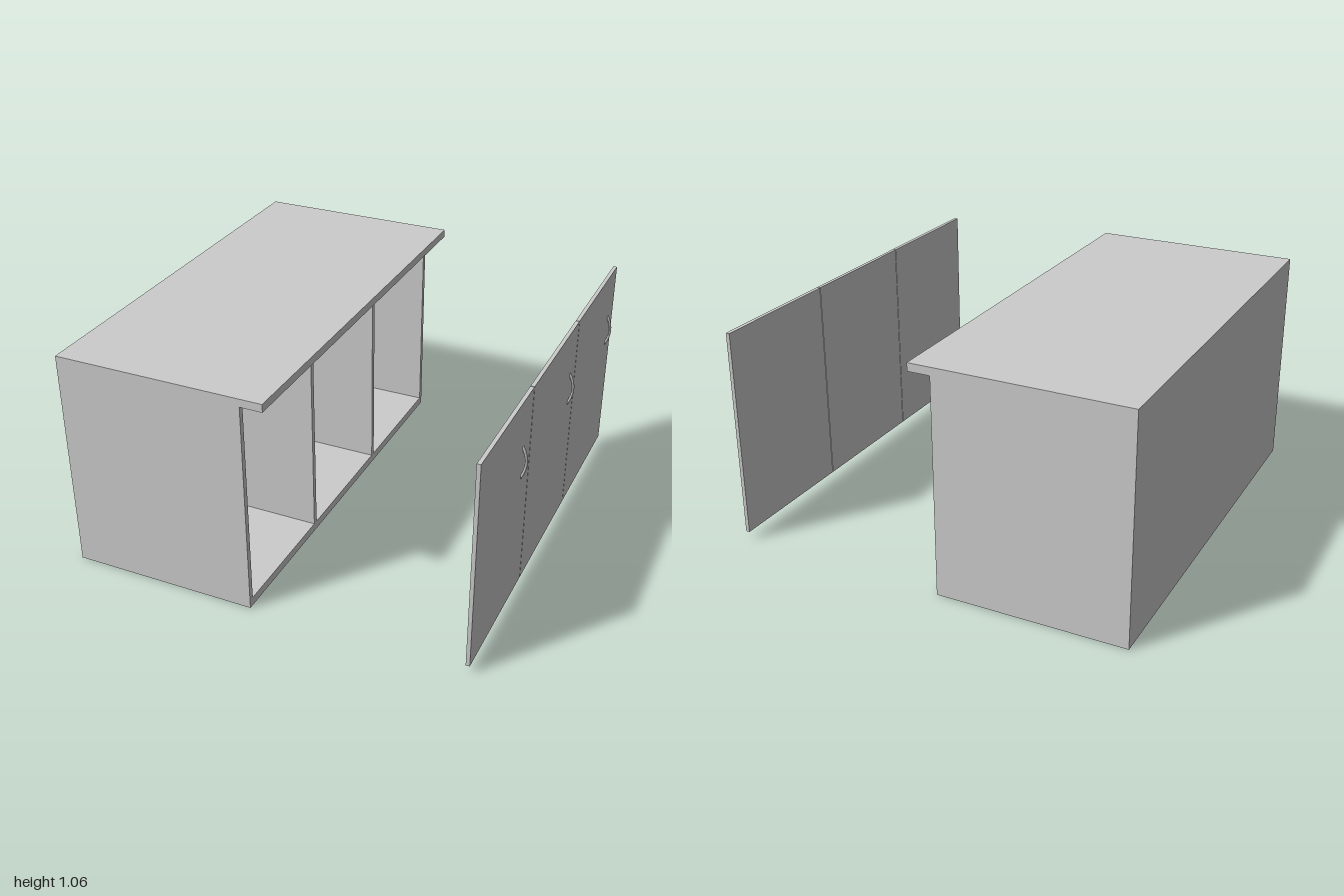
import * as THREE from 'three';

const material = new THREE.MeshStandardMaterial({ color: 0xcccccc });

// Box given by its minimum and maximum corners
function panel(name, [x0, y0, z0], [x1, y1, z1]) {
  const mesh = new THREE.Mesh(new THREE.BoxGeometry(x1 - x0, y1 - y0, z1 - z0), material);
  mesh.name = name;
  mesh.position.set((x0 + x1) / 2, (y0 + y1) / 2, (z0 + z1) / 2);
  return mesh;
}

// Bowed pull handle, slightly wider than deep, ends sunk into the door
function handle(x, y, z) {
  const arc = new THREE.QuadraticBezierCurve3(
    new THREE.Vector3(-0.006, -0.083, 0),
    new THREE.Vector3(0.043, 0, 0),
    new THREE.Vector3(-0.006, 0.083, 0)
  );
  const mesh = new THREE.Mesh(new THREE.TubeGeometry(arc, 24, 0.006, 12), material);
  mesh.name = 'handle';
  mesh.scale.z = 1.5;
  mesh.position.set(x, y, z);
  return mesh;
}

export function createModel() {
  const model = new THREE.Group();
  model.name = 'cabinet';
  const back = -0.97, front = -0.08, low = 0.04, high = 1.022, t = 0.025;

  // Carcass: base, overhanging worktop, back and ends
  model.add(
    panel('base', [back, 0, -1], [front, low, 1]),
    panel('worktop', [back, high, -1], [0.025, 1.06, 1]),
    panel('backPanel', [back, low, -1 + t], [back + t, high, 1 - t]),
    panel('leftEnd', [back, low, 1 - t], [front, high, 1]),
    panel('rightEnd', [back, low, -1], [front, high, -1 + t])
  );

  // Two upright dividers
  for (const z of [0.35, -0.325]) {
    model.add(panel('divider', [back + t, low, z - t / 2], [front, high, z + t / 2]));
  }

  // Three doors standing apart from the carcass, each with a handle
  const doors = [[0.352, 1, 0.452], [-0.317, 0.348, -0.238], [-0.99, -0.321, -0.9]];
  for (const [z0, z1, handleZ] of doors) {
    const door = new THREE.Group();
    door.name = 'door';
    door.add(
      panel('doorPanel', [0.927, low, z0], [0.945, high, z1]),
      handle(0.945, 0.715, handleZ)
    );
    model.add(door);
  }
  return model;
}
